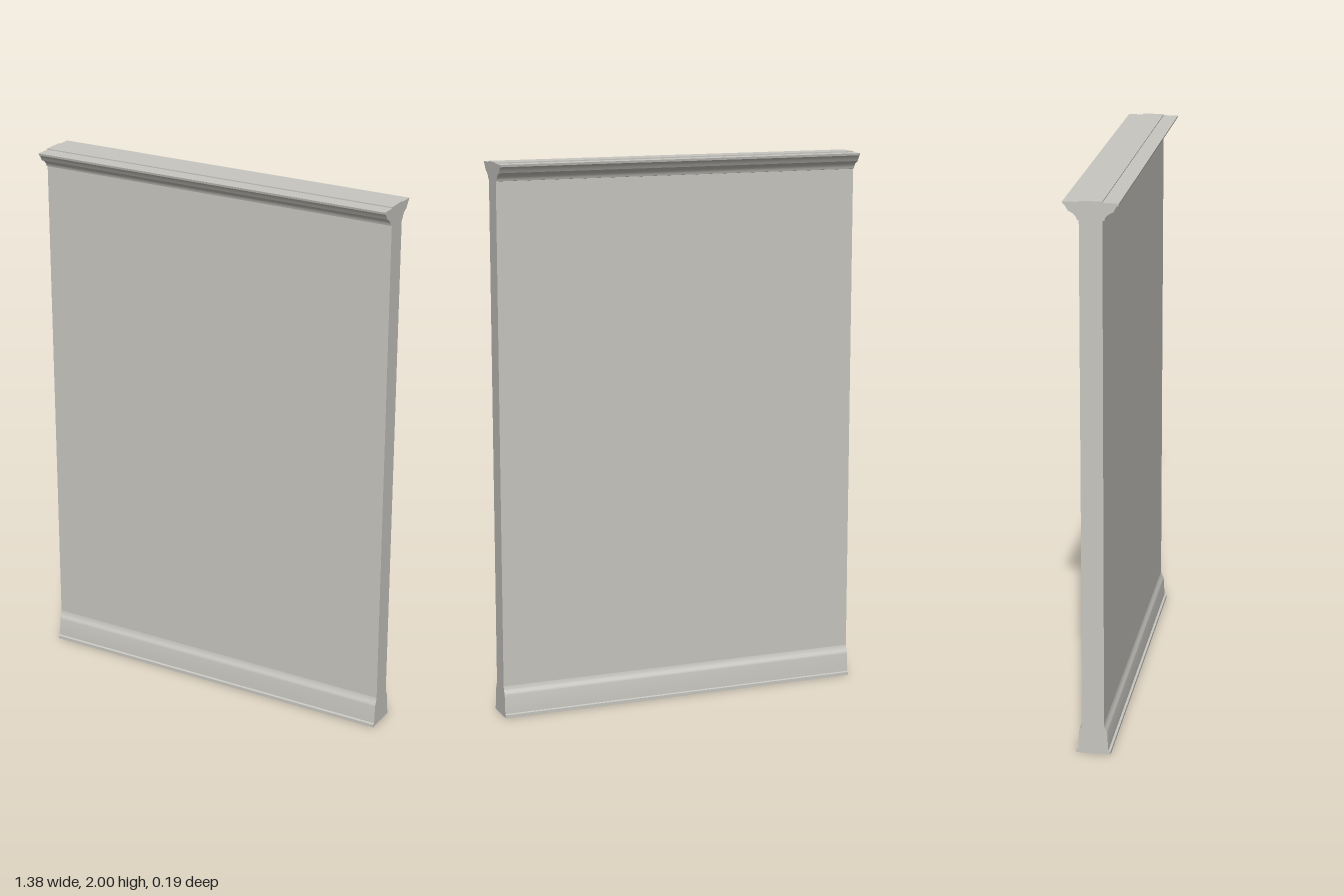
import * as THREE from 'three';
import { toCreasedNormals } from 'three/addons/utils/BufferGeometryUtils.js';

const WIDTH = 1.378;
const WALL_HALF = 0.039;

// Runs a (z, y) moulding profile along the whole width of the wall
function moulding(name, points, material) {
  const shape = new THREE.Shape(points.map(([z, y]) => new THREE.Vector2(z, y)));
  const geo = new THREE.ExtrudeGeometry(shape, { depth: WIDTH, bevelEnabled: false });
  geo.translate(0, 0, -WIDTH / 2);
  geo.rotateY(-Math.PI / 2); // profile x becomes +z
  const mesh = new THREE.Mesh(toCreasedNormals(geo, 0.5), material);
  mesh.name = name;
  return mesh;
}

export function createModel() {
  const group = new THREE.Group();
  group.name = 'wallPanel';
  const plaster = new THREE.MeshStandardMaterial({ color: 0xc8c6c0 });
  plaster.name = 'plaster';

  // Flat wall slab
  const wall = new THREE.Mesh(new THREE.BoxGeometry(WIDTH, 2, WALL_HALF * 2), plaster);
  wall.position.y = 1;
  wall.name = 'wall';
  group.add(wall);

  // Skirting: thin foot, upright board, curved cap
  const skirting = [
    [WALL_HALF, 0], [0.062, 0], [0.062, 0.012], [0.054, 0.014], [0.05, 0.082],
    [0.048, 0.091], [0.044, 0.097], [0.041, 0.104], [WALL_HALF, 0.114],
  ];
  // Cornice: small bead, cove sweeping out, upper lip
  const cornice = [
    [WALL_HALF, 1.935], [0.045, 1.936], [0.047, 1.942], [0.05, 1.948], [0.056, 1.955],
    [0.065, 1.961], [0.075, 1.966], [0.079, 1.973], [0.086, 1.984], [0.092, 1.988],
    [0.094, 1.996], [WALL_HALF, 1.996],
  ];
  // Same mouldings on front and back
  for (const [side, angle] of [['front', 0], ['back', Math.PI]]) {
    const trim = new THREE.Group();
    trim.name = side + 'Trim';
    trim.add(moulding(side + 'Skirting', skirting, plaster));
    trim.add(moulding(side + 'Cornice', cornice, plaster));
    trim.rotation.y = angle;
    group.add(trim);
  }
  return group;
}
